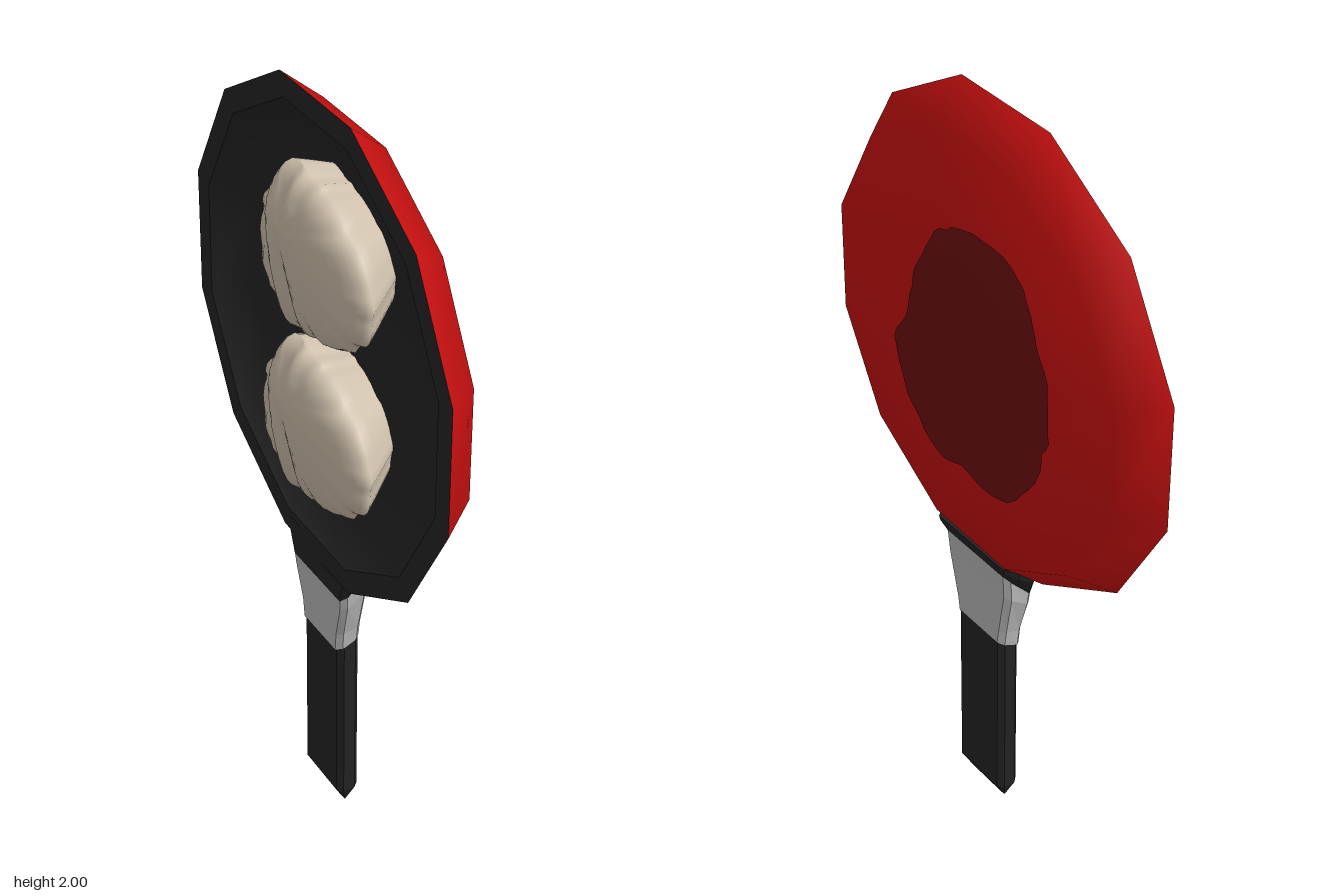
import * as THREE from 'three';

const mat = (name, color, side = THREE.FrontSide) => {
  const m = new THREE.MeshStandardMaterial({ color, side });
  m.name = name;
  return m;
};

// Skin a list of closed rings (counter-clockwise seen from the far end), with fan caps.
function loft(rings, { flat = false, startCap = true } = {}) {
  const n = rings[0].length, pos = [], index = [];
  rings.forEach(r => r.forEach(p => pos.push(...p)));
  for (let i = 0; i < rings.length - 1; i++) {
    for (let j = 0; j < n; j++) {
      const a = i * n + j, b = i * n + (j + 1) % n;
      index.push(a, b, a + n, b, b + n, a + n);
    }
  }
  const cap = (row, end) => {
    const c = pos.length / 3;
    pos.push(...[0, 1, 2].map(k => rings[row].reduce((s, p) => s + p[k], 0) / n));
    for (let j = 0; j < n; j++) {
      const a = row * n + j, b = row * n + (j + 1) % n;
      if (end) index.push(a, b, c); else index.push(b, a, c);
    }
  };
  if (startCap) cap(0, false);
  cap(rings.length - 1, true);
  let g = new THREE.BufferGeometry();
  g.setAttribute('position', new THREE.Float32BufferAttribute(pos, 3));
  g.setIndex(index);
  if (flat) g = g.toNonIndexed();
  g.computeVertexNormals();
  return g;
}

// Chamfered rectangular section; its height may differ between the -x and +x faces.
function section([yNeg, yPos, hw, x0, x1, chamfer = 0.014]) {
  const cx = Math.min(chamfer, (x1 - x0) * 0.35), cz = chamfer;
  return [
    [x0 + cx, hw], [x1 - cx, hw], [x1, hw - cz], [x1, -hw + cz],
    [x1 - cx, -hw], [x0 + cx, -hw], [x0, -hw + cz], [x0, hw - cz],
  ].map(([x, z]) => {
    const t = x1 > x0 ? (x - x0) / (x1 - x0) : 0;
    return [x, yNeg + (yPos - yNeg) * t, z];
  });
}

// Smooth closed outline through (z, y) points, with a slightly ragged edge.
function outline(points, count, ragged) {
  const curve = new THREE.CatmullRomCurve3(
    points.map(([z, y]) => new THREE.Vector3(0, y, z)).reverse(), true);
  return Array.from({ length: count }, (_, i) => {
    const p = curve.getPoint(i / count);
    const k = ragged * (Math.sin(i * 1.3) + 0.6 * Math.sin(i * 2.1 + 1));
    return [p.z + k, p.y + k * Math.cos(i * 0.7)];
  });
}

const PAN_Y = 1.38, SIDES = 12;
// Radius to the flats and depth along x of the pan's underside.
const BASE = [[0.62, -0.04], [0.54, 0.06], [0.28, 0.096], [0, 0.102]];

function lathe(points) {
  const k = 1 / Math.cos(Math.PI / SIDES);
  const g = new THREE.LatheGeometry(
    points.map(([r, x]) => new THREE.Vector2(r * k, x)), SIDES, Math.PI / SIDES);
  return g.rotateZ(-Math.PI / 2).translate(0, PAN_Y, 0);
}

// Depth of the underside at a point of the twelve-sided pan.
function baseDepth(z, y) {
  let r = 0;
  for (let k = 0; k < SIDES; k++) {
    const a = k * Math.PI * 2 / SIDES;
    r = Math.max(r, z * Math.cos(a) + (y - PAN_Y) * Math.sin(a));
  }
  for (let i = 0; i < BASE.length - 1; i++) {
    const [r0, x0] = BASE[i], [r1, x1] = BASE[i + 1];
    if (r >= r1) return x0 + (x1 - x0) * (r0 - r) / (r0 - r1);
  }
  return BASE[BASE.length - 1][1];
}

// Irregular burn mark lying on the underside.
function scorchGeometry() {
  const edge = outline([
    [-.02, 1.735], [-.17, 1.735], [-.26, 1.675], [-.29, 1.6], [-.34, 1.5], [-.35, 1.37],
    [-.33, 1.28], [-.285, 1.18], [-.155, 1.07], [-.02, 1.09], [.06, 1.07], [.14, 1.105],
    [.215, 1.205], [.25, 1.315], [.19, 1.42], [.175, 1.5], [.125, 1.61], [.06, 1.7],
  ], 72, 0.004);
  const rings = [1, 0.85, 0.7, 0.55, 0.4, 0.25, 0.1].map(s => edge.map(([ez, ey]) => {
    const z = -0.05 + (ez + 0.05) * s, y = 1.39 + (ey - 1.39) * s;
    return [baseDepth(z, y) + 0.004, y, z];
  }));
  return loft(rings, { startCap: false });
}

// Pleated dumpling, bulging toward -x, folds along its -z side.
function dumplingGeometry() {
  const edge = outline([
    [-.215, .02], [-.19, .12], [-.09, .215], [0, .195], [.11, .16], [.24, .05],
    [.25, -.08], [.15, -.165], [.02, -.205], [-.12, -.215], [-.2, -.14],
  ], 72, 0.004);
  const profile = [[.75, .07], [.92, 0], [1, -.035], [.97, -.052], [.9, -.066], [.8, -.078],
    [.68, -.087], [.55, -.095], [.42, -.101], [.28, -.105], [.14, -.107], [.04, -.108]];
  const rings = profile.map(([s, x]) => edge.map(([ez, ey]) => {
    const z = -0.07 + (ez + 0.07) * s, y = 0.07 + (ey - 0.07) * s;
    const amount = x < -0.05 ? THREE.MathUtils.smoothstep(0.06 - z, 0, 0.14) : 0;
    const fold = Math.sin(z * 75 + Math.sin(y * 14) * 0.9);
    return [x + amount * 0.009 * (fold + 0.7) * Math.min(1, s * 2), y, z];
  }));
  return loft(rings, { startCap: false });
}

export function createModel() {
  const red = mat('red enamel', 0xc81010);
  const darkRed = mat('scorched red', 0x6e0f10);
  const black = mat('black coating', 0x232323, THREE.DoubleSide);
  const grey = mat('brushed metal', 0xbababa);
  const dough = mat('dough', 0xcdbfab, THREE.DoubleSide);

  const model = new THREE.Group();
  model.name = 'fryingPan';
  const add = (name, geometry, material, parent = model) => {
    const m = new THREE.Mesh(geometry, material);
    m.name = name;
    parent.add(m);
    return m;
  };

  // Dish, turned a touch about the upright axis
  const dish = new THREE.Group();
  dish.name = 'dish';
  dish.rotation.y = -0.016;
  model.add(dish);
  add('panUnderside', lathe(BASE), red, dish);
  add('panRim', lathe([[0.56, -0.04], [0.62, -0.04]]), black, dish);
  add('panInside', lathe([[0, 0.08], [0.27, 0.074], [0.49, 0.04], [0.56, -0.04]]), black, dish);
  add('scorchMark', scorchGeometry(), darkRed, dish);

  // Two dumplings, one above the other
  const dumpling = dumplingGeometry();
  [['upperDumpling', 1.6], ['lowerDumpling', 1.14]].forEach(([name, y]) => {
    add(name, dumpling, dough).position.y = y;
  });

  // Grip with a wedge end, metal collar, and the neck that joins the dish
  const part = (name, rows, material) =>
    add(name, loft(rows.map(section), { flat: true }), material);
  part('handleGrip', [
    [0, 0, 0.072, 0.003, 0.007], [0.05, 0.05, 0.093, -0.025, 0.035],
    [0.56, 0.56, 0.093, -0.025, 0.035],
  ], black);
  part('handleCollar', [
    [0.52, 0.55, 0.094, -0.03, 0.037], [0.575, 0.59, 0.1, -0.031, 0.037],
    [0.67, 0.72, 0.127, -0.035, 0.041], [0.7, 0.79, 0.13, -0.037, 0.046],
  ], grey);
  part('handleNeck', [
    [0.7, 0.79, 0.131, -0.038, 0.047, 0.016], [0.76, 0.815, 0.16, -0.039, 0.056, 0.025],
    [0.8, 0.83, 0.163, -0.039, 0.06, 0.03],
  ], black);

  return model;
}
